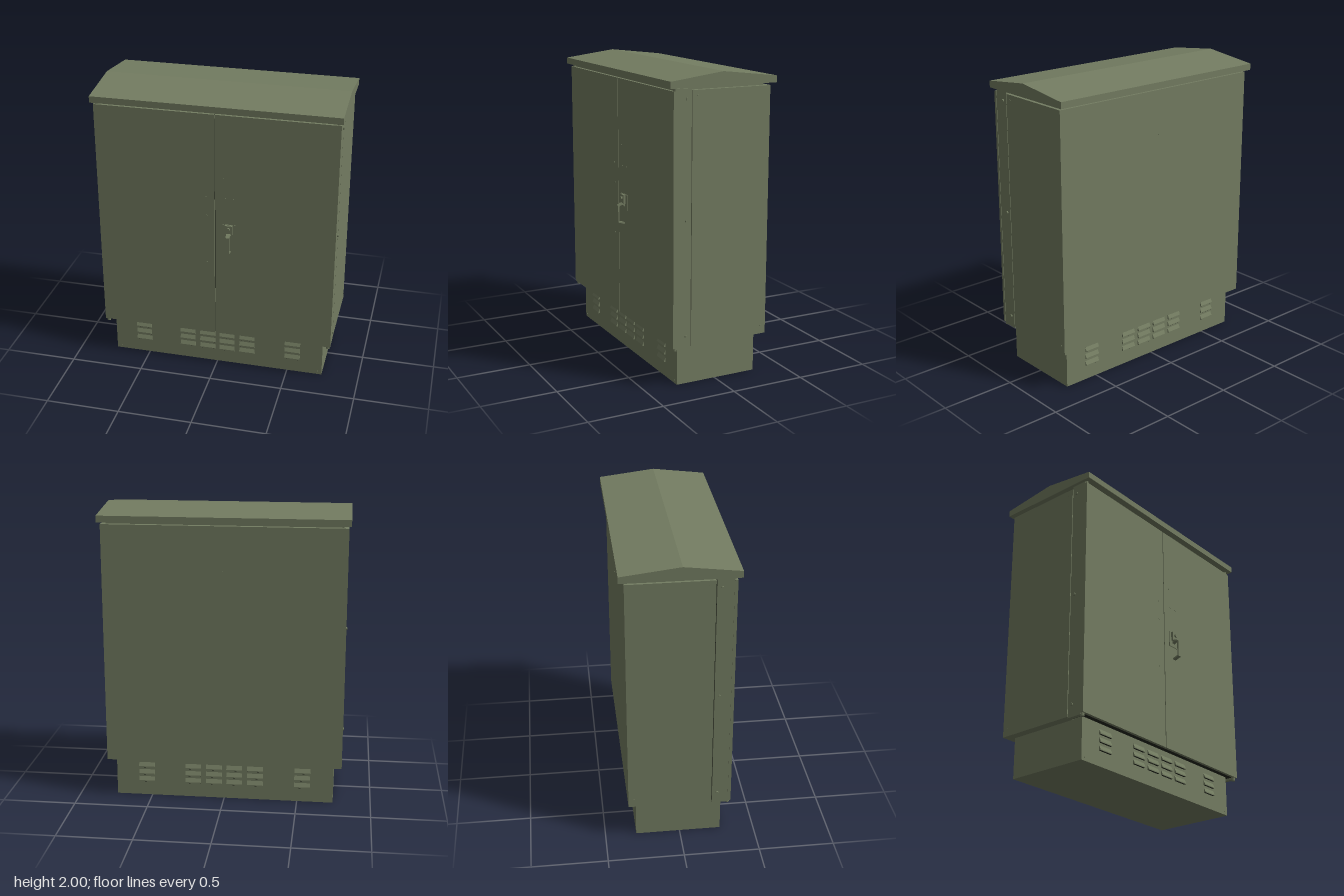
import * as THREE from 'three';

export function createModel() {
  const root = new THREE.Group();
  const paint = new THREE.MeshStandardMaterial({ color: 0x737c61 });
  paint.name = 'olive paint';
  const seal = new THREE.MeshStandardMaterial({ color: 0x24271f });
  seal.name = 'dark gasket';

  function add(name, geometry, x = 0, y = 0, z = 0, material = paint, parent = root) {
    const mesh = new THREE.Mesh(geometry, material);
    mesh.name = name;
    mesh.position.set(x, y, z);
    parent.add(mesh);
    return mesh;
  }
  // Box given by its limits on each axis
  function box(name, [x0, x1], [y0, y1], [z0, z1], material = paint, parent = root) {
    return add(name, new THREE.BoxGeometry(x1 - x0, y1 - y0, z1 - z0),
      (x0 + x1) / 2, (y0 + y1) / 2, (z0 + z1) / 2, material, parent);
  }
  // Side profile in (z, y), extruded along x and centred
  function profile(points, width) {
    const shape = new THREE.Shape(points.map(([z, y]) => new THREE.Vector2(-z, y)));
    return new THREE.ExtrudeGeometry(shape, { depth: width, bevelEnabled: false })
      .translate(0, 0, -width / 2).rotateY(Math.PI / 2);
  }

  // Plinth, cabinet body and neck under the roof
  box('plinth', [-0.745, 0.745], [0, 0.275], [-0.293, 0.275]);
  box('cabinetBody', [-0.8, 0.8], [0.27, 1.895], [-0.345, 0.203]);
  box('roofNeck', [-0.77, 0.77], [1.89, 1.92], [-0.31, 0.31]);
  box('doorGasket', [-0.79, 0.79], [0.275, 1.89], [0.2, 0.32], seal);

  // Pitched roof with overhanging eaves
  add('roof', profile([[0.36, 1.912], [0.36, 1.955], [0, 2], [-0.38, 1.955], [-0.38, 1.912]], 1.634));

  // Side frame strips, doors, hinges and lower lugs
  for (const s of [-1, 1]) {
    const side = s < 0 ? 'right' : 'left';
    const span = (a, b) => (s > 0 ? [a, b] : [-b, -a]);
    box(side + 'FrameStrip', span(0.775, 0.8), [0.26, 1.908], [0.208, 0.312]);
    box(side + 'Door', span(0.003, 0.803), [0.272, 1.893], [0.312, 0.332]);
    for (const y of [0.34, 1.09, 1.845]) {
      const bolt = add(side + 'HingeBolt', new THREE.CylinderGeometry(0.01, 0.01, 0.014, 12), s * 0.802, y, 0.24);
      bolt.rotation.z = Math.PI / 2;
    }
    for (const y of [0.262, 1.903]) {
      add(side + 'HingePin', new THREE.CylinderGeometry(0.013, 0.013, 0.022, 12), s * 0.785, y, 0.312);
    }
    for (const [y, z] of [[1.86, 0.165], [0.325, -0.31]]) {
      const rivet = add(side + 'SideRivet', new THREE.CylinderGeometry(0.005, 0.005, 0.006, 8), s * 0.8, y, z);
      rivet.rotation.z = Math.PI / 2;
    }
  }

  // Small rivets on the doors, plinth and back
  const rivets = [
    [-0.06, 1.315, 0.332], [0.07, 1.315, 0.332], [0.125, 1.315, 0.332], [-0.055, 1.18, 0.332],
    [-0.055, 0.83, 0.332], [0.055, 1.455, 0.332], [-0.715, 0.022, 0.275], [0.715, 0.022, 0.275],
    [0, 1.6, -0.345],
  ];
  for (const [x, y, z] of rivets) {
    const rivet = add('rivet', new THREE.CylinderGeometry(0.005, 0.005, 0.008, 8), x, y, z);
    rivet.rotation.x = Math.PI / 2;
  }

  // Pressed ventilation louvers, front and back of the plinth
  const louver = profile([[-0.002, -0.016], [0.012, -0.016], [0.012, -0.009], [-0.002, 0.022]], 0.108);
  for (const back of [false, true]) {
    const vents = new THREE.Group();
    vents.name = back ? 'backLouvers' : 'frontLouvers';
    vents.position.z = back ? -0.293 : 0.275;
    if (back) vents.rotation.y = Math.PI;
    root.add(vents);
    for (const x of [-0.535, -0.213, -0.07, 0.07, 0.213, 0.535]) {
      for (const y of [0.117, 0.169, 0.221]) {
        add('louver', louver, x, y, 0, paint, vents);
        box('louverSlot', [x - 0.05, x + 0.05], [y - 0.0175, y - 0.0155], [0, 0.01], seal, vents);
      }
    }
  }

  // Swing handle: back plate, lock housing and bent grip
  const handle = new THREE.Group();
  handle.name = 'doorHandle';
  root.add(handle);
  box('handlePlate', [0.052, 0.14], [1.02, 1.128], [0.33, 0.337], paint, handle);
  box('lockHousing', [0.07, 0.122], [1.065, 1.126], [0.335, 0.352], paint, handle);
  const lock = add('lockBarrel', new THREE.CylinderGeometry(0.012, 0.012, 0.016, 16), 0.096, 1.102, 0.355, paint, handle);
  lock.rotation.x = Math.PI / 2;
  const grip = profile([
    [0.335, 1.07], [0.36, 1.07], [0.386, 1.055], [0.386, 0.94], [0.34, 0.925],
    [0.337, 0.935], [0.376, 0.948], [0.376, 1.05], [0.357, 1.058], [0.335, 1.045],
  ], 0.026);
  add('handleGrip', grip, 0.096, 0, 0, paint, handle);
  return root;
}
